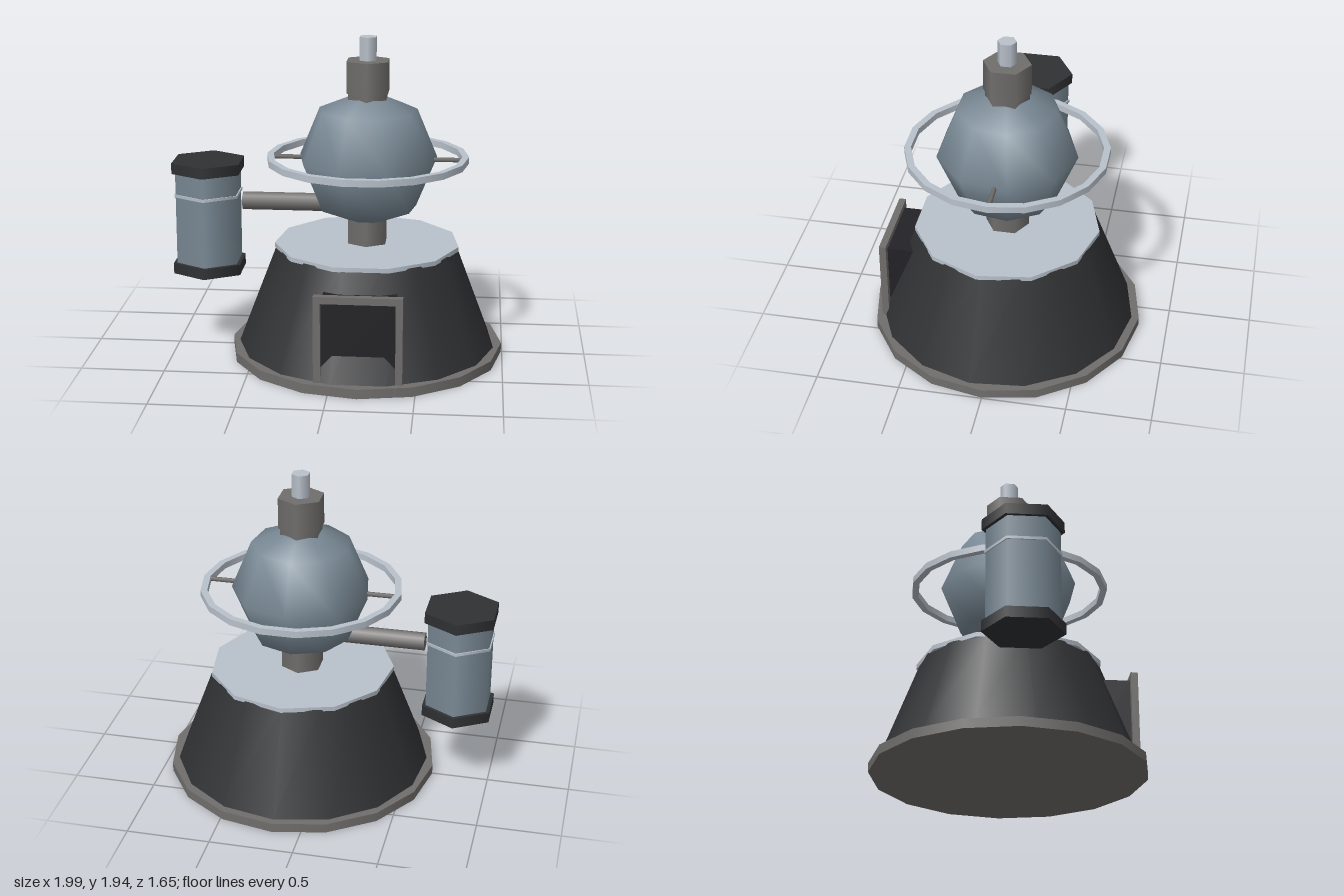
import * as THREE from 'three';

const mat = (color) => new THREE.MeshStandardMaterial({ color });

export function createModel() {
  const dark = mat(0x303133), black = mat(0x232327), grey = mat(0x706e6c);
  const blue = mat(0x7a8a96), pale = mat(0xb9c1cb);
  const model = new THREE.Group();

  const add = (parent, name, geometry, material, x = 0, y = 0, z = 0) => {
    const mesh = new THREE.Mesh(geometry, material);
    mesh.name = name;
    mesh.position.set(x, y, z);
    parent.add(mesh);
    return mesh;
  };
  // upright prism between two heights; odd-sided ones point a corner to the back
  const prism = (parent, name, rBottom, rTop, y0, y1, sides, material) => {
    const g = new THREE.CylinderGeometry(rTop, rBottom, y1 - y0, sides);
    if (sides % 2) g.rotateY(Math.PI);
    return add(parent, name, g, material, 0, (y0 + y1) / 2, 0);
  };

  // Main tower
  const tower = new THREE.Group();
  tower.name = 'tower';
  tower.position.x = 0.17;
  model.add(tower);
  prism(tower, 'footPlate', 0.825, 0.825, 0, 0.057, 16, grey);
  prism(tower, 'taperedBase', 0.78, 0.546, 0.055, 0.67, 15, dark);
  prism(tower, 'topPlate', 0.56, 0.56, 0.66, 0.688, 11, pale);
  prism(tower, 'column', 0.13, 0.13, 0.68, 1.615, 6, grey);
  prism(tower, 'collar', 0.141, 0.141, 1.61, 1.8, 6, grey);
  prism(tower, 'tip', 0.056, 0.056, 1.79, 1.94, 6, pale);

  const ball = new THREE.SphereGeometry(0.42, 9, 4);
  ball.rotateY(-Math.PI / 2);
  add(tower, 'sphere', ball, blue, 0, 1.205, 0);

  // Orbiting ring: square section, held by a thin rod through the sphere
  const section = [[0.565, -0.02], [0.605, -0.02], [0.605, 0.02], [0.565, 0.02], [0.565, -0.02]];
  for (let i = 0; i < 4; i++) {
    const side = section.slice(i, i + 2).map(([r, y]) => new THREE.Vector2(r, y));
    const g = new THREE.LatheGeometry(side, 18);
    g.rotateY(Math.PI / 2);
    add(tower, 'ringSide', g, pale, 0, 1.205, 0);
  }
  const rod = new THREE.CylinderGeometry(0.014, 0.014, 1.15, 6);
  rod.rotateZ(Math.PI / 2);
  add(tower, 'ringRod', rod, grey, 0, 1.205, 0);

  // Doorway: dark block sunk into the base, with a frame in front
  add(tower, 'doorBlock', new THREE.BoxGeometry(0.43, 0.485, 0.3), black, 0, 0.2975, 0.555);
  const frame = new THREE.Shape();
  [[-0.256, 0.055], [-0.215, 0.055], [-0.215, 0.535], [0.215, 0.535], [0.215, 0.055],
    [0.256, 0.055], [0.256, 0.577], [-0.256, 0.577]].forEach(([x, y], i) => (i ? frame.lineTo(x, y) : frame.moveTo(x, y)));
  const frameGeometry = new THREE.ExtrudeGeometry(frame, { depth: 0.042, bevelEnabled: false });
  add(tower, 'doorFrame', frameGeometry, grey, 0, 0, 0.7);

  // Side tank
  const tank = new THREE.Group();
  tank.name = 'sideTank';
  tank.position.x = -0.797;
  model.add(tank);
  prism(tank, 'tankBody', 0.211, 0.211, 0.53, 1.13, 6, blue);
  prism(tank, 'tankBand', 0.219, 0.219, 0.963, 0.98, 6, pale);
  prism(tank, 'tankBottomCap', 0.234, 0.234, 0.485, 0.55, 6, dark);
  prism(tank, 'tankTopCap', 0.234, 0.234, 1.11, 1.175, 6, dark);

  // Pipe from the tank to the sphere
  const pipe = new THREE.CylinderGeometry(0.056, 0.056, 0.7, 8);
  pipe.rotateZ(Math.PI / 2);
  add(model, 'pipe', pipe, grey, -0.235, 0.925, 0);

  return model;
}
